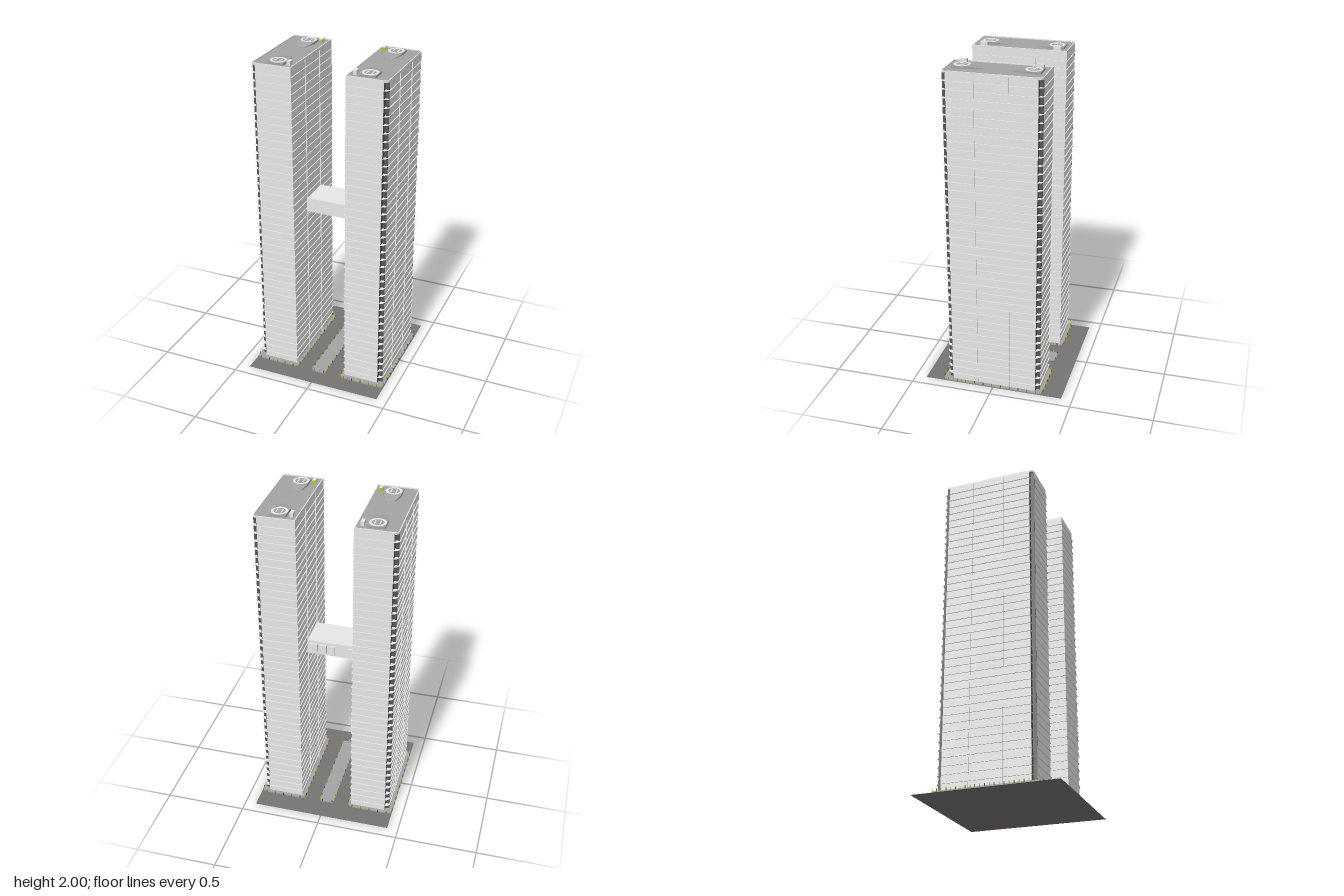
import * as THREE from 'three';
import { mergeGeometries } from 'three/addons/utils/BufferGeometryUtils.js';
import { ConvexGeometry } from 'three/addons/geometries/ConvexGeometry.js';

const mat = (name, color, side = THREE.FrontSide) => {
  const m = new THREE.MeshStandardMaterial({ color, side });
  m.name = name;
  return m;
};

export function createModel() {
  const wall = mat('pale wall', 0xe7e7e7, THREE.DoubleSide);
  const roofGrey = mat('roof grey', 0xa3a3a3);
  const asphalt = mat('asphalt', 0x767373, THREE.DoubleSide);
  const trim = mat('dark trim', 0x555555);
  const white = mat('white paint', 0xeeeeee);
  const yellow = mat('lamp yellow', 0xc4c414);

  const root = new THREE.Group();
  root.name = 'twinTowers';
  const add = (parent, name, geometry, material, x = 0, y = 0, z = 0) => {
    const m = new THREE.Mesh(geometry, material);
    m.name = name;
    m.position.set(x, y, z);
    parent.add(m);
    return m;
  };
  const box = (w, h, d, x = 0, y = 0, z = 0) => new THREE.BoxGeometry(w, h, d).translate(x, y, z);

  // Plan outline with separate radii for its low-x and high-x corners
  const plan = (x0, x1, z0, z1, r0, r1) => {
    const s = new THREE.Shape();
    s.moveTo(x0 + r0, z0);
    s.lineTo(x1 - r1, z0);
    if (r1) s.absarc(x1 - r1, z0 + r1, r1, -Math.PI / 2, 0);
    s.lineTo(x1, z1 - r1);
    if (r1) s.absarc(x1 - r1, z1 - r1, r1, 0, Math.PI / 2);
    s.lineTo(x0 + r0, z1);
    if (r0) s.absarc(x0 + r0, z1 - r0, r0, Math.PI / 2, Math.PI);
    s.lineTo(x0, z0 + r0);
    if (r0) s.absarc(x0 + r0, z0 + r0, r0, Math.PI, Math.PI * 1.5);
    return s;
  };
  // Upright prism standing at height y
  const prism = (shape, h, y) =>
    new THREE.ExtrudeGeometry(shape, { depth: h, bevelEnabled: false, curveSegments: 5 })
      .rotateX(-Math.PI / 2).translate(0, y, 0);

  // Tower outline grown by g; side is +1 or -1
  const X0 = 0.163, X1 = 0.408, Z = 0.288, R = 0.025;
  const towerPlan = (side, g) => side > 0
    ? plan(X0 - g, X1 + g, -Z - g, Z + g, 0, R + g)
    : plan(-X1 - g, -X0 + g, -Z - g, Z + g, R + g, 0);

  // Ground sheet
  add(root, 'ground', new THREE.PlaneGeometry(0.864, 0.864).rotateX(-Math.PI / 2), asphalt);

  // Raised pavement edged with small bollards, every second one a lamp
  const pavement = (name, shape, edge, count) => {
    const g = new THREE.Group();
    g.name = name;
    root.add(g);
    add(g, 'kerb', prism(shape, 0.008, 0.001), roofGrey);
    const posts = [], lamps = [];
    edge.getSpacedPoints(count).slice(0, count).forEach((p, i) => {
      (i % 2 ? lamps : posts).push(box(0.004, 0.016, 0.004, p.x, 0.012, -p.y));
    });
    add(g, 'bollards', mergeGeometries(posts), trim);
    add(g, 'bollardLamps', mergeGeometries(lamps), yellow);
  };
  pavement('median', plan(-0.05, 0.044, -0.322, 0.304, 0.02, 0.02),
    plan(-0.048, 0.042, -0.32, 0.302, 0.018, 0.018), 44);

  // Helicopter pad with a ramp leading to the middle of the roof
  const helipad = (parent, x, z) => {
    const g = new THREE.Group();
    g.name = 'helipad';
    g.position.set(x, 1.976, z);
    if (z < 0) g.rotation.y = Math.PI;
    parent.add(g);
    add(g, 'padBase', prism(plan(-0.05, 0.05, -0.05, 0.05, 0.006, 0.006), 0.012, 0), roofGrey);
    const pts = [];
    for (const s of [-1, 1]) {
      pts.push(new THREE.Vector3(s * 0.05, 0, -0.048), new THREE.Vector3(s * 0.05, 0.012, -0.048),
        new THREE.Vector3(s * 0.026, 0, -0.12), new THREE.Vector3(s * 0.026, 0.001, -0.12));
    }
    add(g, 'ramp', new ConvexGeometry(pts), roofGrey);
    const ring = new THREE.Shape().absarc(0, 0, 0.048, 0, Math.PI * 2);
    ring.holes.push(new THREE.Path().absarc(0, 0, 0.034, 0, Math.PI * 2, true));
    add(g, 'landingRing', new THREE.ExtrudeGeometry(ring,
      { depth: 0.0015, bevelEnabled: false, curveSegments: 24 }).rotateX(-Math.PI / 2), white, 0, 0.012, 0);
    for (const s of [-1, 1]) add(g, 'landingStripe', box(0.008, 0.0015, 0.042), white, s * 0.015, 0.0128, 0);
  };

  for (const side of [1, -1]) {
    const t = new THREE.Group();
    t.name = side > 0 ? 'leftTower' : 'rightTower';
    root.add(t);
    const [p0, p1] = side > 0 ? [0.143, 0.428] : [-0.428, -0.143];
    pavement(side > 0 ? 'leftPavement' : 'rightPavement',
      plan(p0, p1, -0.32, 0.308, 0.03, 0.03),
      plan(p0 - 0.003, p1 - 0.001, -0.323, 0.311, 0.03, 0.03), 64);

    // Body: two crossing blocks that leave a square recess at each outer corner
    const H = 1.967, mid = 0.006 + H / 2;
    add(t, 'towerBody', box(X1 - R - X0, H, 2 * Z), wall, side * (X0 + X1 - R) / 2, mid, 0);
    add(t, 'outerBay', box(R, H, 2 * (Z - R)), wall, side * (X1 - R / 2), mid, 0);

    // Dark lining of the corner recesses
    const lining = [];
    for (const s of [1, -1]) {
      lining.push(box(R, H, 0.002, side * (X1 - R / 2), mid, s * (Z - R + 0.001)));
      lining.push(box(0.002, H, R, side * (X1 - R + 0.001), mid, s * (Z - R / 2)));
    }
    add(t, 'cornerRecess', mergeGeometries(lining), trim);

    // Thin floor ledges, rounded over the corner recesses
    const ledges = [];
    const floors = 40;
    for (let i = 1; i < floors; i++) {
      ledges.push(new THREE.ShapeGeometry(towerPlan(side, 0.006), 5)
        .rotateX(-Math.PI / 2).translate(0, i * 1.975 / floors, 0));
    }
    add(t, 'floorLedges', mergeGeometries(ledges), wall);

    // Thin upright fins on the long walls
    const fins = [];
    for (const x of [X0, X1]) {
      for (const z of [-0.1, 0.1]) {
        fins.push(new THREE.PlaneGeometry(0.01, 1.96).translate(side * x, 0.99, z));
      }
    }
    add(t, 'wallFins', mergeGeometries(fins), wall);

    // Roof inside a low pale parapet
    add(t, 'roof', prism(towerPlan(side, -0.003), 0.006, 1.97), roofGrey);
    const rim = towerPlan(side, 0);
    rim.holes.push(new THREE.Path(towerPlan(side, -0.006).getPoints(5)));
    add(t, 'parapet', prism(rim, 0.012, 1.97), wall);

    // Rooftop pads and stair huts
    for (const s of [1, -1]) {
      helipad(t, side * 0.275, s * 0.205);
      add(t, 'stairHut', box(0.02, 0.024, 0.042), white, side * 0.198, 1.988, s * 0.222);
      add(t, 'hutDoor', box(0.02, 0.023, 0.002), yellow, side * 0.198, 1.9875, s * 0.2);
    }
  }

  // Bridge between the towers, with blank sign blocks on its back
  add(root, 'skyBridge', box(0.328, 0.09, 0.205), wall, 0, 1.055, -0.003);
  for (const [x0, x1] of [[-0.142, -0.096], [-0.01, 0.022], [0.042, 0.086], [0.098, 0.146]]) {
    add(root, 'signBlock', box(x1 - x0, 0.055, 0.014), wall, (x0 + x1) / 2, 1.055, -0.112);
  }
  return root;
}
